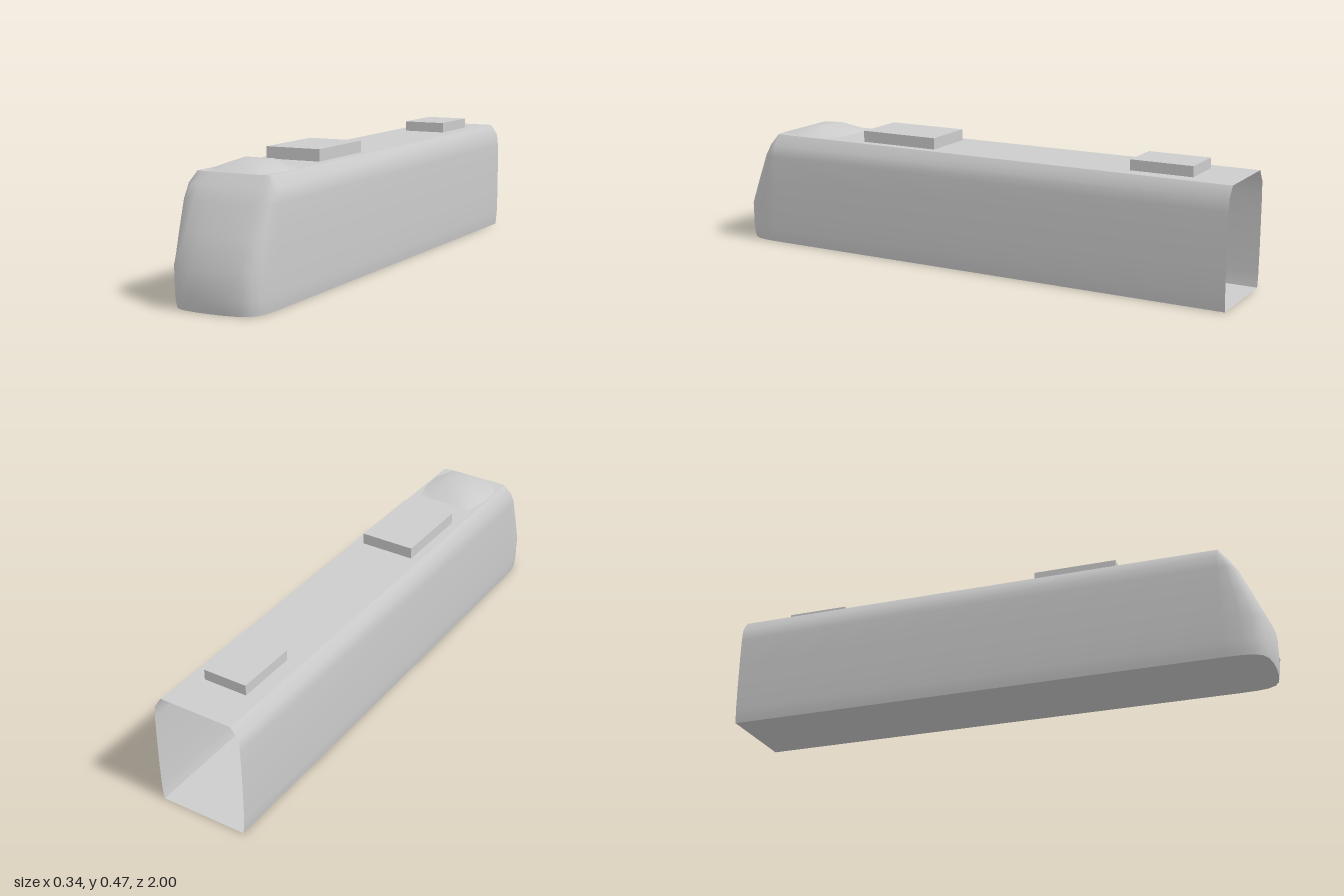
import * as THREE from 'three';

const shellGrey = new THREE.MeshStandardMaterial({ color: 0xcccccc, side: THREE.DoubleSide });
shellGrey.name = 'shell grey';

const BACK = -1, NOSE_START = 0.84, ROOF = 0.425;

// Side profile levels: height, half width, z of the nose tip
const levels = [
  [0, 0.162, 0.994], [0.02, 0.165, 0.998], [0.05, 0.168, 1], [0.14, 0.17, 1],
  [0.24, 0.17, 0.957], [0.34, 0.169, 0.912], [0.385, 0.164, 0.88], [ROOF, 0.137, 0.846],
];
// Plan of half the nose: fraction of half width, fraction of nose length
const nosePlan = [
  [1, 0], [0.985, 0.4], [0.94, 0.65], [0.84, 0.83], [0.66, 0.93], [0.35, 0.985], [0, 1],
];

// Horizontal outline at one level, from the left rear round the nose to the right rear
function outline([y, half, tip]) {
  const left = [[half, y, BACK]];
  for (const [fx, fz] of nosePlan) left.push([half * fx, y, NOSE_START + (tip - NOSE_START) * fz]);
  const right = left.slice(0, -1).reverse().map(([x, h, z]) => [-x, h, z]);
  return [...left, ...right];
}

function geometryFrom(points, index) {
  const g = new THREE.BufferGeometry();
  g.setAttribute('position', new THREE.Float32BufferAttribute(points.flat(), 3));
  g.setIndex(index);
  g.computeVertexNormals();
  return g;
}

// Smooth skin across a list of equally long rows
function skin(rows) {
  const n = rows[0].length, index = [];
  for (let j = 0; j < rows.length - 1; j++) {
    for (let i = 0; i < n - 1; i++) {
      const a = j * n + i, b = a + 1, c = a + n, d = c + 1;
      index.push(a, c, b, b, c, d);
    }
  }
  return geometryFrom(rows.flat(), index);
}

// Flat cap over a convex outline
function cap(ring, up) {
  const index = [];
  for (let i = 1; i < ring.length - 1; i++) index.push(0, up ? i + 1 : i, up ? i : i + 1);
  return geometryFrom(ring, index);
}

export function createModel() {
  const model = new THREE.Group();
  model.name = 'railCar';
  const add = (name, geometry) => {
    const mesh = new THREE.Mesh(geometry, shellGrey);
    mesh.name = name;
    model.add(mesh);
    return mesh;
  };

  // Hollow body, open at the rear
  const rings = levels.map(outline);
  add('wallsAndNose', skin(rings));
  add('floor', cap(rings[0], false));
  add('roof', cap(rings[rings.length - 1], true));

  // Low fairing behind the nose: z, height, half width
  const sections = [
    [0.845, 0, 0.1], [0.76, 0.026, 0.13], [0.68, 0.031, 0.13], [0.587, 0, 0.11],
  ];
  add('roofFairing', skin(sections.map(([z, h, w]) =>
    [[-1, 0], [-0.42, 1], [0.42, 1], [1, 0]].map(([fx, fy]) => [fx * w, ROOF + 0.001 + h * fy, z]))));

  // Roof equipment boxes: name, width, height, front z, rear z
  for (const [name, w, h, z1, z0] of [
    ['frontRoofUnit', 0.206, 0.042, 0.465, 0.158],
    ['rearRoofUnit', 0.164, 0.038, -0.612, -0.842],
  ]) {
    add(name, new THREE.BoxGeometry(w, h, z1 - z0)).position.set(0, ROOF + h / 2, (z0 + z1) / 2);
  }

  // Small five-sided lamps on the nose
  for (const side of [1, -1]) {
    const lamp = add(side > 0 ? 'leftLamp' : 'rightLamp', new THREE.CircleGeometry(0.009, 5));
    lamp.position.set(side * 0.113, 0.085, 0.992);
    lamp.rotation.y = side * 0.4;
  }
  return model;
}
